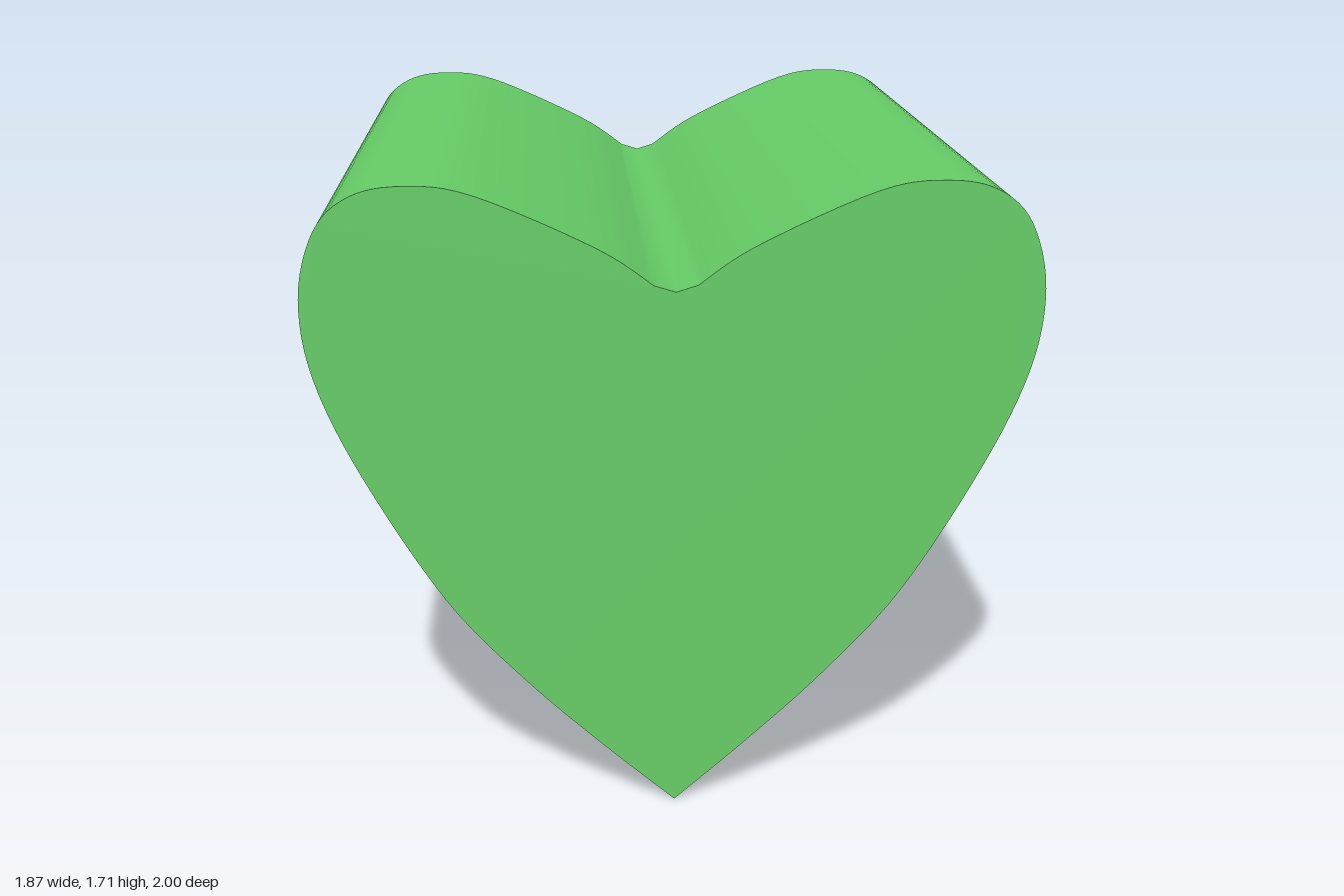
import * as THREE from 'three';
import { toCreasedNormals } from 'three/addons/utils/BufferGeometryUtils.js';

export function createModel() {
  const group = new THREE.Group();
  group.name = 'heartPrism';

  // Right side of the heart, from the bottom tip up to the notch
  const side = new THREE.SplineCurve([
    [0, 0], [0.2, 0.18], [0.4, 0.375], [0.6, 0.61], [0.8, 0.955], [0.91, 1.22],
    [0.935, 1.43], [0.89, 1.6], [0.8, 1.685], [0.67, 1.71], [0.5, 1.685],
    [0.2, 1.55], [0.055, 1.452],
  ].map(([x, y]) => new THREE.Vector2(x, y)));
  const right = side.getPoints(72);

  // Mirror it, with a small rounded notch in the middle
  const left = right.slice(1).reverse().map((p) => new THREE.Vector2(-p.x, p.y));
  const outline = new THREE.Shape([...right, new THREE.Vector2(0, 1.435), ...left]);

  // Sweep the outline from back to front, keeping the caps and tip sharp
  const geometry = new THREE.ExtrudeGeometry(outline, { depth: 2, bevelEnabled: false });
  geometry.translate(0, 0, -1);
  const body = new THREE.Mesh(
    toCreasedNormals(geometry, 0.7),
    new THREE.MeshStandardMaterial({ color: 0x66cc66 }),
  );
  body.name = 'heartBody';
  group.add(body);
  return group;
}
